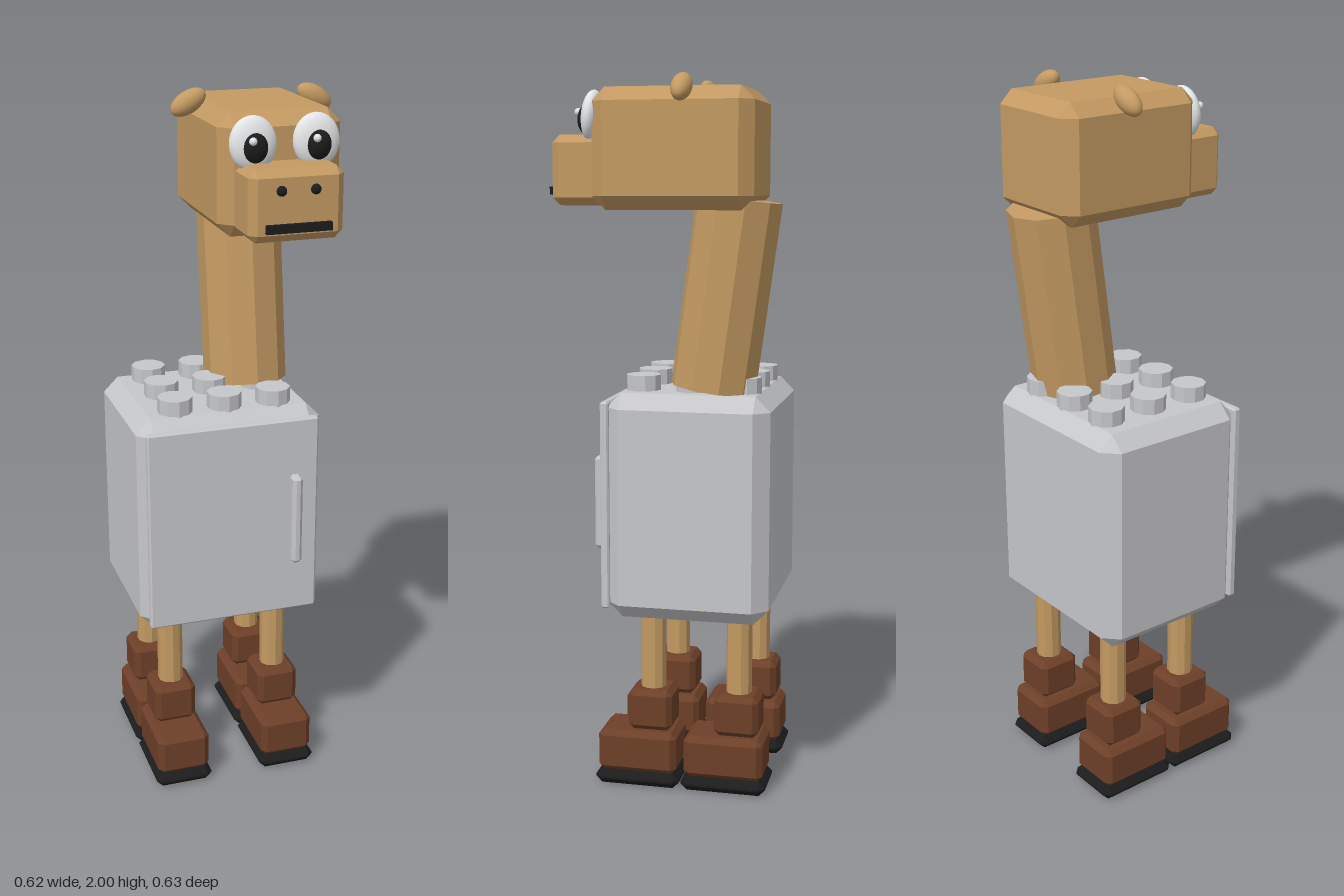
import * as THREE from 'three';
import { ConvexGeometry } from 'three/addons/geometries/ConvexGeometry.js';

const mat = (name, color, flat = true) => {
  const m = new THREE.MeshStandardMaterial({ color, flatShading: flat });
  m.name = name;
  return m;
};

// Box with single-step chamfered edges and corners
function chamferBox(w, h, d, c) {
  const pts = [];
  const [x, y, z] = [w / 2, h / 2, d / 2];
  for (const i of [-1, 1]) for (const j of [-1, 1]) for (const k of [-1, 1]) {
    pts.push(
      new THREE.Vector3(i * x, j * (y - c), k * (z - c)),
      new THREE.Vector3(i * (x - c), j * y, k * (z - c)),
      new THREE.Vector3(i * (x - c), j * (y - c), k * z)
    );
  }
  return new ConvexGeometry(pts);
}

export function createModel() {
  const model = new THREE.Group();
  model.name = 'fridgeAnimal';

  const tan = mat('tan fur', 0xc49a62);
  const tanSmooth = tan.clone();
  tanSmooth.flatShading = false;
  const grey = mat('fridge grey', 0xc6c7ca);
  const brown = mat('boot brown', 0x6e4029);
  const black = mat('black', 0x1c1c1c, false);
  const white = mat('eye white', 0xe6e8ea, false);

  const add = (parent, name, geometry, material, x, y, z) => {
    const mesh = new THREE.Mesh(geometry, material);
    mesh.name = name;
    mesh.position.set(x, y, z);
    parent.add(mesh);
    return mesh;
  };
  const group = (name) => {
    const g = new THREE.Group();
    g.name = name;
    model.add(g);
    return g;
  };

  // Fridge body with door and handle
  const body = group('body');
  add(body, 'cabinet', chamferBox(0.535, 0.64, 0.46, 0.042), grey, -0.043, 0.825, -0.073);
  add(body, 'door', chamferBox(0.496, 0.59, 0.024, 0.005), grey, -0.045, 0.825, 0.16);
  add(body, 'doorHandle', chamferBox(0.03, 0.267, 0.04, 0.009), grey, 0.134, 0.823, 0.184);

  // Three by three studs on the top
  const studGeo = new THREE.CylinderGeometry(0.049, 0.049, 0.06, 10);
  for (let i = -1; i <= 1; i++) for (let j = -1; j <= 1; j++) {
    add(body, 'stud', studGeo, grey, -0.043 + i * 0.143, 1.158, -0.073 + j * 0.143);
  }

  // Legs, each with a boot and sole
  const legGeo = new THREE.CylinderGeometry(0.037, 0.037, 0.27, 10);
  const ankleGeo = chamferBox(0.124, 0.12, 0.128, 0.016);
  const footGeo = chamferBox(0.155, 0.122, 0.228, 0.016);
  const soleGeo = chamferBox(0.168, 0.042, 0.245, 0.018);
  for (const [side, x] of [['right', -0.204], ['left', 0.117]]) {
    for (const [end, z] of [['Front', 0.039], ['Back', -0.211]]) {
      const leg = group(side + end + 'Leg');
      leg.position.set(x, 0, z);
      add(leg, 'shin', legGeo, tan, 0, 0.395, 0);
      add(leg, 'bootAnkle', ankleGeo, brown, 0, 0.226, 0);
      add(leg, 'bootFoot', footGeo, brown, 0, 0.103, 0.035);
      add(leg, 'bootSole', soleGeo, black, 0, 0.023, 0.035);
    }
  }
  black.flatShading = false;

  // Neck leaning backwards
  const cx = 0.082;
  const neck = add(model, 'neck', new THREE.CylinderGeometry(0.12, 0.12, 0.527, 10), tan, cx, 1.414, -0.16);
  neck.rotation.x = -0.135;

  // Head, muzzle and mouth
  const head = group('head');
  head.position.x = cx;
  add(head, 'skull', chamferBox(0.338, 0.323, 0.442, 0.037), tan, 0, 1.806, -0.037);
  add(head, 'muzzle', chamferBox(0.258, 0.188, 0.18, 0.021), tan, 0, 1.75, 0.211);
  add(head, 'mouth', new THREE.BoxGeometry(0.177, 0.022, 0.03), black, 0, 1.695, 0.301);

  // Mirrored face details
  const ball = new THREE.SphereGeometry(1, 24, 16);
  for (const s of [-1, 1]) {
    add(head, 'nostril', ball, black, s * 0.046, 1.79, 0.302).scale.setScalar(0.0135);
    const eye = add(head, 'eye', ball, white, s * 0.086, 1.892, 0.192);
    eye.scale.set(0.064, 0.071, 0.029);
    eye.rotation.x = -0.08;
    add(head, 'pupil', ball, black, s * 0.086, 1.884, 0.206).scale.set(0.036, 0.041, 0.028);
    add(head, 'eyeGlint', ball, white, s * 0.086 - 0.014, 1.905, 0.237).scale.setScalar(0.0105);
    const ear = add(head, 'ear', ball, tanSmooth, s * 0.179, 1.962, -0.073);
    ear.scale.set(0.054, 0.03, 0.028);
    ear.rotation.z = -s * 0.52;
  }
  return model;
}
